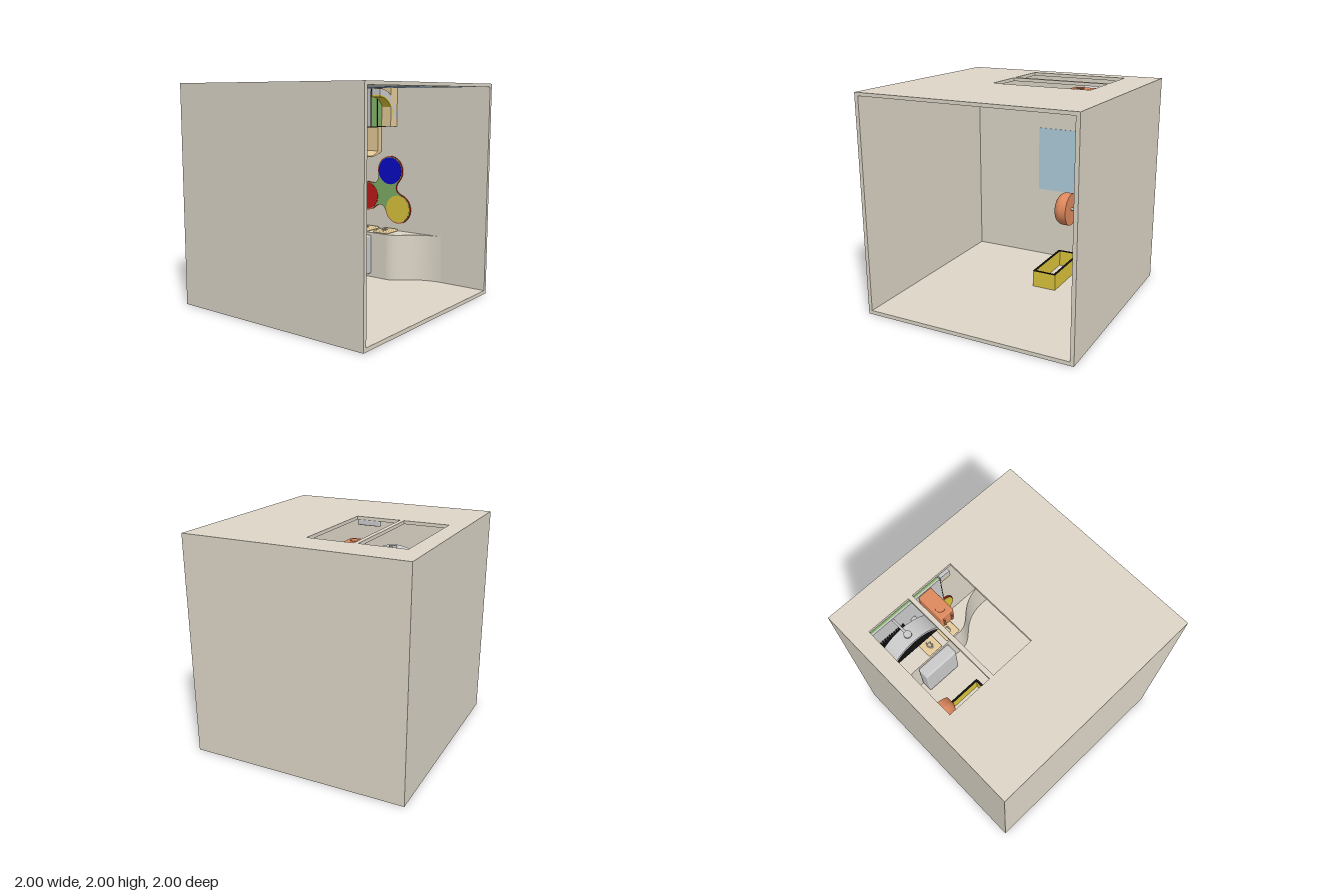
import * as THREE from 'three';
import { RoundedBoxGeometry } from 'three/addons/geometries/RoundedBoxGeometry.js';

const COLORS = {
  wall: 0xddd6c8, grey: 0xcccccc, orange: 0xe08a5e, blue: 0xb0cddd, deepBlue: 0x0a0ac8, black: 0x111111,
  green: 0x7fae66, yellow: 0xdcc53c, red: 0xc01818, tan: 0xe6cb98
};
const materials = {};
for (const key in COLORS) materials[key] = new THREE.MeshStandardMaterial({ color: COLORS[key] });

export function createModel() {
  const room = new THREE.Group();
  room.name = 'room';

  const add = (name, geometry, color, x = 0, y = 0, z = 0) => {
    const mesh = new THREE.Mesh(geometry, materials[color]);
    mesh.name = name;
    mesh.position.set(x, y, z);
    room.add(mesh);
    return mesh;
  };
  // box given by its limits on each axis
  const box = (name, color, [x0, x1], [y0, y1], [z0, z1], radius = 0) => {
    const s = [x1 - x0, y1 - y0, z1 - z0];
    const g = radius ? new RoundedBoxGeometry(...s, 3, radius) : new THREE.BoxGeometry(...s);
    return add(name, g, color, (x0 + x1) / 2, (y0 + y1) / 2, (z0 + z1) / 2);
  };
  const extrude = (shape, depth) => new THREE.ExtrudeGeometry(shape, { depth, bevelEnabled: false, curveSegments: 24 });
  // plan shape drawn in (x, -z), raised along y
  const slab = (shape, height) => extrude(shape, height).rotateX(-Math.PI / 2);
  // rod or disc lying along z
  const rodZ = (name, color, r, z0, z1, x, y) =>
    add(name, new THREE.CylinderGeometry(r, r, z1 - z0, 32).rotateX(Math.PI / 2), color, x, y, (z0 + z1) / 2);
  const rect = (x0, x1, y0, y1, Type = THREE.Shape) =>
    new Type([[x0, y0], [x1, y0], [x1, y1], [x0, y1]].map(p => new THREE.Vector2(...p)));

  // Shell, open on the left side, with a two-pane skylight
  box('floor', 'wall', [-1, 1], [0, 0.035], [-1, 1]);
  box('frontWall', 'wall', [-1, 1], [0.035, 1.97], [0.965, 1]);
  box('backWall', 'wall', [-1, 1], [0.035, 1.97], [-1, -0.965]);
  box('sideWall', 'wall', [-1, -0.965], [0.035, 1.97], [-0.965, 0.965]);
  const ceiling = rect(-1, 1, -1, 1);
  for (const [x0, x1] of [[-0.845, -0.435], [-0.395, 0.015]])
    ceiling.holes.push(rect(x0, x1, -0.25, 0.685, THREE.Path));
  add('ceiling', slab(ceiling, 0.03), 'wall', 0, 1.97, 0);

  // Window and ceiling panel
  box('sideWindow', 'blue', [-0.966, -0.96], [0.76, 1.42], [-0.65, 0.25]);
  box('ceilingPanel', 'blue', [0.19, 0.88], [1.964, 1.971], [-0.65, 0.25]);
  box('ceilingFixture', 'grey', [-0.2, 0.02], [1.92, 1.97], [0.255, 0.29], 0.01);

  // Wavy counter along the back wall
  const counter = new THREE.Shape();
  counter.moveTo(-0.965, 0.965);
  counter.lineTo(-0.965, 0.49);
  counter.bezierCurveTo(-0.8, 0.5, -0.75, 0.72, -0.6, 0.72);
  counter.lineTo(0.03, 0.72);
  counter.bezierCurveTo(0.2, 0.74, 0.2, 0.94, 0.52, 0.965);
  add('counter', slab(counter, 0.465), 'wall', 0, 0.035, 0);
  box('applianceDoor', 'grey', [-0.55, -0.15], [0.07, 0.475], [-0.72, -0.59], 0.02);

  // Boards lying on the counter
  for (const x of [-0.3, -0.06]) {
    box('counterBoard', 'tan', [x - 0.085, x + 0.085], [0.5, 0.525], [-0.94, -0.73], 0.012);
    const ring = add('boardRing', new THREE.TorusGeometry(0.022, 0.007, 8, 24).rotateX(Math.PI / 2), 'grey', x, 0.527, -0.82);
    ring.scale.z = 1.4;
  }
  add('boardPeg', new THREE.ConeGeometry(0.015, 0.035, 12), 'grey', -0.3, 0.54, -0.785);

  // Wall lamp with a long arm
  const dome = [new THREE.Vector2(0, 0.14)];
  for (let i = 0; i <= 10; i++) {
    const t = Math.PI / 2 * (1 - i / 10);
    dome.push(new THREE.Vector2(0.085 + 0.08 * Math.cos(t), 0.06 + 0.08 * Math.sin(t)));
  }
  dome.push(new THREE.Vector2(0.165, 0));
  add('lampDome', new THREE.LatheGeometry(dome.reverse(), 48).rotateX(Math.PI / 2), 'orange', -0.73, 0.665, -0.225);
  rodZ('lampBase', 'orange', 0.165, -0.228, -0.224, -0.73, 0.665);
  rodZ('lampArm', 'grey', 0.015, -0.95, -0.22, -0.73, 0.67);
  rodZ('lampPlate', 'grey', 0.09, -0.965, -0.935, -0.73, 0.67);

  // Open yellow bin with a black rim
  const bin = rect(-0.755, -0.14, 0.085, 0.32);
  bin.holes.push(rect(-0.733, -0.162, 0.107, 0.298, THREE.Path));
  add('bin', slab(bin, 0.155), 'yellow', 0, 0.035, 0);
  add('binRim', slab(bin, 0.005), 'black', 0, 0.19, 0);

  // Three-lobed wall ornament: discs joined by concave waists
  const lobes = new THREE.Group();
  lobes.name = 'wallOrnament';
  lobes.position.set(-0.153, 0.897, -0.965);
  lobes.rotation.z = THREE.MathUtils.degToRad(-45.7);
  room.add(lobes);
  const tri = (scale) => {
    const s = new THREE.Shape(), r = 0.152 * scale;
    for (let k = 0; k < 3; k++) {
      const a = k * 2 * Math.PI / 3, n = a + 2 * Math.PI / 3;
      const at = (c, t) => [0.233 * Math.cos(c) + r * Math.cos(t), 0.233 * Math.sin(c) + r * Math.sin(t)];
      if (k === 0) s.moveTo(...at(a, a - 2));
      s.absarc(0.233 * Math.cos(a), 0.233 * Math.sin(a), r, a - 2, a + 2, false);
      const m = a + Math.PI / 3;
      s.quadraticCurveTo(0.09 * Math.cos(m), 0.09 * Math.sin(m), ...at(n, n - 2));
    }
    return s;
  };
  const ornament = (name, geometry, color, x, y, z) => {
    const mesh = new THREE.Mesh(geometry, materials[color]);
    mesh.name = name;
    mesh.position.set(x, y, z);
    lobes.add(mesh);
  };
  ornament('ornamentBack', extrude(tri(1), 0.014), 'red', 0, 0, 0);
  ornament('ornamentFace', extrude(tri(0.96), 0.003), 'green', 0, 0, 0.013);
  ['yellow', 'deepBlue', 'red'].forEach((color, k) => {
    const a = k * 2 * Math.PI / 3;
    ornament('ornamentDisc', new THREE.CylinderGeometry(0.14, 0.14, 0.006, 40).rotateX(Math.PI / 2), color,
      0.233 * Math.cos(a), 0.233 * Math.sin(a), 0.016);
  });

  // Wall cabinet under the ceiling
  box('cabinetBack', 'tan', [-0.95, -0.02], [1.58, 1.965], [-0.965, -0.85]);
  box('cabinetBody', 'green', [-0.95, -0.13], [1.585, 1.96], [-0.85, -0.665]);
  box('cabinetBottom', 'black', [-0.95, -0.13], [1.575, 1.585], [-0.965, -0.655]);
  box('cabinetFace', 'grey', [-0.95, -0.13], [1.585, 1.965], [-0.67, -0.655]);
  for (const z of [-0.655, -0.765]) box('cabinetEdge', 'black', [-0.135, -0.125], [1.58, 1.96], [z - 0.01, z]);

  // Curved hood beside the cabinet, drawn in (-z, y) and extruded along x
  const quarter = (r0, r1) => {
    const s = new THREE.Shape();
    s.absarc(0.66, 1.655, r1, 0, Math.PI / 2, false);
    s.absarc(0.66, 1.655, r0, Math.PI / 2, 0, true);
    return s;
  };
  add('hoodShell', extrude(quarter(0.24, 0.305), 0.1).rotateY(Math.PI / 2), 'grey', -0.12, 0, 0);
  add('hoodLining', extrude(quarter(0.225, 0.24), 0.1).rotateY(Math.PI / 2), 'yellow', -0.12, 0, 0);
  add('hoodMouth', new THREE.SphereGeometry(0.05, 24, 12).scale(1, 0.6, 1), 'yellow', -0.07, 1.66, -0.9);

  // Curled shelf board below the cabinet
  const curl = new THREE.Shape();
  curl.moveTo(0.885, 1.58);
  curl.lineTo(0.885, 1.325);
  curl.quadraticCurveTo(0.85, 1.29, 0.77, 1.28);
  curl.lineTo(0.77, 1.268);
  curl.quadraticCurveTo(0.9, 1.28, 0.95, 1.32);
  curl.lineTo(0.95, 1.58);
  add('curledShelf', extrude(curl, 0.4).rotateY(Math.PI / 2), 'tan', -0.6, 0, 0);

  // Black grille on the cabinet front
  for (let i = 0; i < 12; i++) {
    const x = -0.84 + i * 0.024;
    box('grilleBar', 'black', [x, x + 0.014], [1.63, 1.76], [-0.655, -0.605]);
  }
  box('grilleRail', 'black', [-0.85, -0.56], [1.63, 1.65], [-0.655, -0.615]);
  box('cabinetKnob', 'grey', [-0.49, -0.44], [1.66, 1.73], [-0.655, -0.62], 0.008);

  // Arched drum under the skylight, with a dark core
  const R = 0.3, half = 1.05, cy = 1.65;
  const arch = new THREE.Shape();
  arch.absarc(-0.63, cy, R, Math.PI / 2 - half, Math.PI / 2 + half, false);
  arch.absarc(-0.63, cy, R - 0.025, Math.PI / 2 + half, Math.PI / 2 - half, true);
  add('drumArch', extrude(arch, 0.15), 'grey', 0, 0, -0.55);
  const core = new THREE.Shape();
  core.absarc(-0.63, cy, R - 0.025, Math.PI / 2 - half, Math.PI / 2 + half, false);
  add('drumCore', extrude(core, 0.14), 'black', 0, 0, -0.545);
  rodZ('drumStem', 'grey', 0.01, -0.66, -0.475, -0.635, 1.95);
  add('drumKnob', new THREE.CylinderGeometry(0.032, 0.032, 0.02, 24), 'grey', -0.635, 1.955, -0.475);

  // Orange appliance with a round lid and a front handle
  box('applianceBody', 'orange', [-0.365, -0.23], [1.8, 1.963], [-0.655, -0.385], 0.012);
  add('applianceLid', new THREE.CylinderGeometry(0.04, 0.04, 0.006, 32), 'orange', -0.3, 1.964, -0.465);
  for (const x of [-0.335, -0.26]) box('applianceHandle', 'orange', [x - 0.006, x + 0.006], [1.83, 1.93], [-0.39, -0.37]);

  return room;
}
